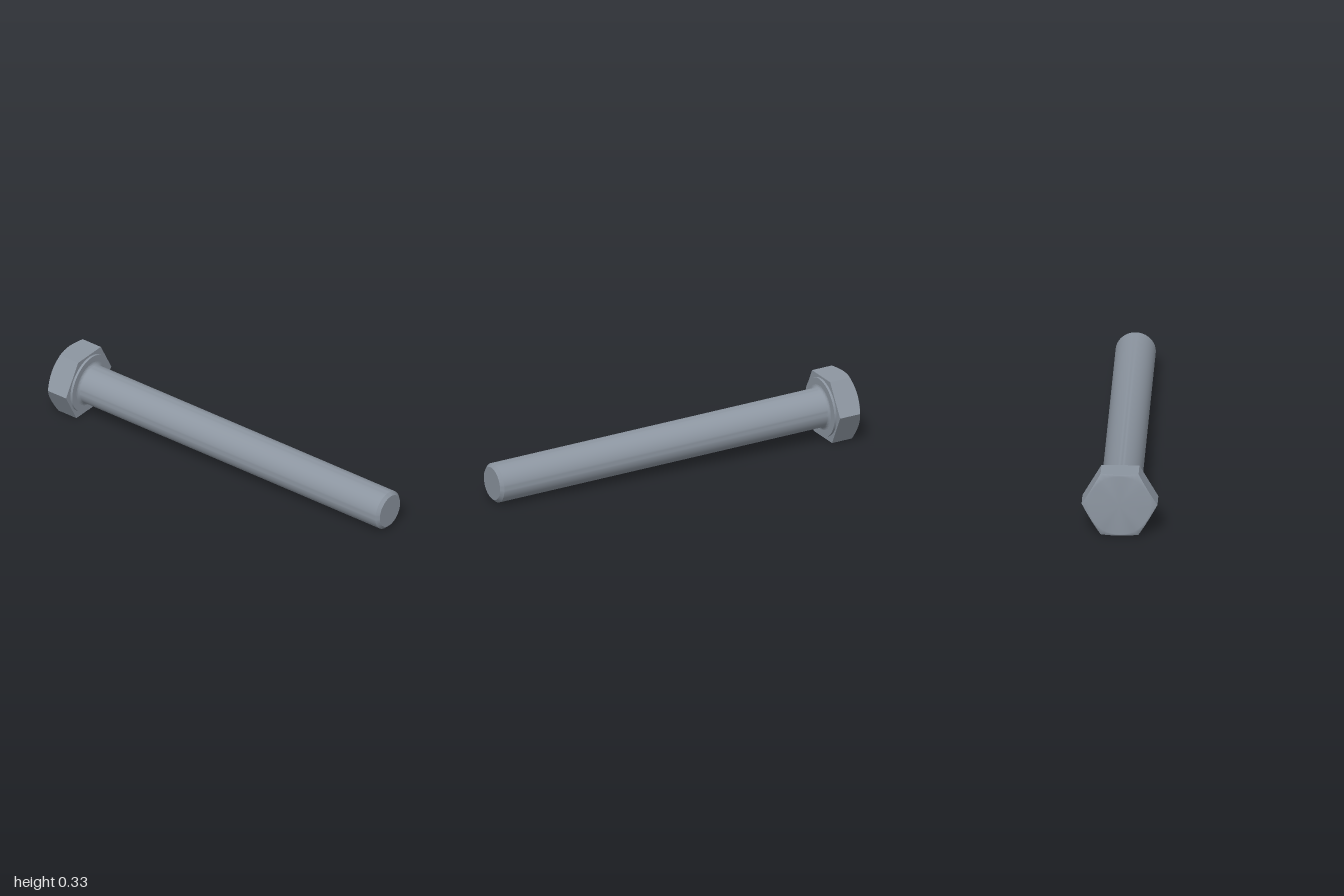
import * as THREE from 'three';
import { toCreasedNormals } from 'three/addons/utils/BufferGeometryUtils.js';

// The bolt is built along local +y: hex underside at y = 0, head below, tip at y = LENGTH.
const LENGTH = 1.862, SHANK_R = 0.1, TIP_CHAMFER = 0.016;
const HEAD_H = 0.131, APOTHEM = 0.163, TOP_R = 0.155;
const WASHER_R = 0.151, WASHER_H = 0.012, FILLET = 0.016;

const steel = new THREE.MeshStandardMaterial({ color: 0x8c95a0 });
steel.name = 'steel grey';

function mesh(geometry, name) {
  const m = new THREE.Mesh(geometry, steel);
  m.name = name;
  return m;
}

function lathe(points, name) {
  const g = new THREE.LatheGeometry(points.map(([r, y]) => new THREE.Vector2(r, y)), 64);
  return mesh(toCreasedNormals(g, 0.5), name);
}

function geometryFrom(positions, index) {
  const g = new THREE.BufferGeometry();
  g.setAttribute('position', new THREE.Float32BufferAttribute(positions, 3));
  g.setIndex(index);
  return g;
}

// Hexagonal head whose top is cut by a 30 degree cone, leaving scalloped sides
function buildHead() {
  const group = new THREE.Group();
  group.name = 'hexHead';
  const perSide = 8, n = 6 * perSide;
  const cap = [0, -HEAD_H, 0], capIndex = [], sides = [], sideIndex = [], under = [0, 0, 0], underIndex = [];

  for (let i = 0; i < n; i++) {
    const a = (i / n) * Math.PI * 2;
    const c = Math.cos(a), s = Math.sin(a);
    const r = APOTHEM / Math.cos((a % (Math.PI / 3)) - Math.PI / 6);
    const rimY = -HEAD_H + (r - TOP_R) * Math.tan(Math.PI / 6);
    cap.push(TOP_R * c, -HEAD_H, TOP_R * s, r * c, rimY, r * s);
    sides.push(r * c, rimY, r * s, r * c, 0, r * s);
    under.push(r * c, 0, r * s);

    const j = (i + 1) % n;
    const p = 1 + 2 * i, q = 1 + 2 * j;
    capIndex.push(0, p, q, p, p + 1, q + 1, p, q + 1, q);
    sideIndex.push(2 * i, 2 * i + 1, 2 * j + 1, 2 * i, 2 * j + 1, 2 * j);
    underIndex.push(0, j + 1, i + 1);
  }

  const capGeometry = geometryFrom(cap, capIndex);
  const underGeometry = geometryFrom(under, underIndex);
  capGeometry.computeVertexNormals();
  underGeometry.computeVertexNormals();
  group.add(
    mesh(capGeometry, 'headTop'),
    mesh(toCreasedNormals(geometryFrom(sides, sideIndex), 0.5), 'headSides'),
    mesh(underGeometry, 'headUnderside')
  );
  return group;
}

export function createModel() {
  const model = new THREE.Group();
  model.name = 'hexBolt';
  const bolt = new THREE.Group();
  bolt.name = 'bolt';
  model.add(bolt);

  bolt.add(buildHead());

  // Thin bearing face under the head
  bolt.add(lathe([[WASHER_R, 0], [WASHER_R, WASHER_H], [SHANK_R + FILLET, WASHER_H]], 'washerFace'));

  // Shank with a fillet at the head and a chamfered tip
  const profile = [];
  for (let i = 0; i <= 5; i++) {
    const a = (i / 5) * Math.PI / 2;
    profile.push([SHANK_R + FILLET * (1 - Math.sin(a)), WASHER_H + FILLET * (1 - Math.cos(a))]);
  }
  profile.push([SHANK_R, LENGTH - TIP_CHAMFER], [SHANK_R - TIP_CHAMFER, LENGTH], [0, LENGTH]);
  bolt.add(lathe(profile, 'shank'));

  // Lay the bolt down so it rests on a head flat and the tip
  const axis = new THREE.Vector3(0.977, -0.033, 0.211).normalize();
  const up = new THREE.Vector3(0, 1, 0).addScaledVector(axis, -axis.y).normalize();
  const side = new THREE.Vector3().crossVectors(axis, up);
  bolt.quaternion.setFromRotationMatrix(new THREE.Matrix4().makeBasis(side, axis, up));
  bolt.position.set(-0.837, 0.167, -0.142);
  return model;
}
